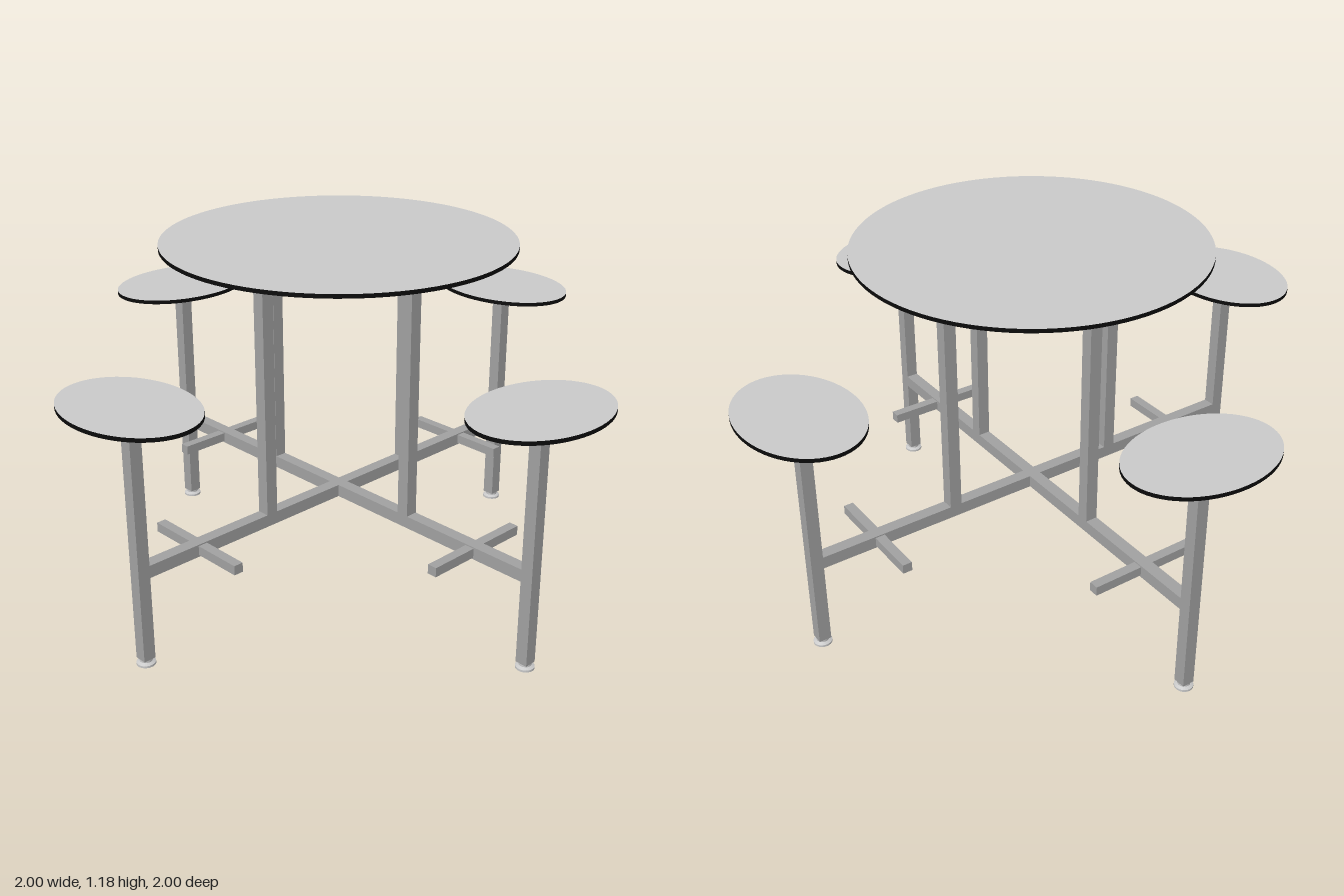
import * as THREE from 'three';

const material = (name, color) => {
  const m = new THREE.MeshStandardMaterial({ color });
  m.name = name;
  return m;
};

export function createModel() {
  const steel = material('steel grey', 0xa0a0a0);
  const laminate = material('light grey laminate', 0xc8c8c8);
  const edging = material('black edging', 0x0a0a0a);
  const model = new THREE.Group();
  model.name = 'picnicTable';

  const add = (parent, name, geometry, mat, x, y, z) => {
    const mesh = new THREE.Mesh(geometry, mat);
    mesh.name = name;
    mesh.position.set(x, y, z);
    parent.add(mesh);
    return mesh;
  };
  // box and disc placed by their bottom and top heights
  const box = (parent, name, w, y0, y1, d, x, z) =>
    add(parent, name, new THREE.BoxGeometry(w, y1 - y0, d), steel, x, (y0 + y1) / 2, z);
  const disc = (parent, name, r, y0, y1, x, mat, sides = 64) =>
    add(parent, name, new THREE.CylinderGeometry(r, r, y1 - y0, sides), mat, x, (y0 + y1) / 2, 0);
  const board = [edging, laminate, laminate];

  // table top with its square support plate
  disc(model, 'tableTop', 0.557, 1.163, 1.176, 0, board, 96);
  box(model, 'topPlate', 0.7, 1.157, 1.163, 0.7, 0, 0);

  // crossed floor beams
  box(model, 'beamAcross', 1.59, 0.298, 0.339, 0.041, 0, 0);
  for (const s of [-1, 1]) box(model, 'beamAlong', 0.041, 0.298, 0.339, 0.775, 0, s * 0.408);

  // four identical arms: post, foot rest, seat leg, seat and foot
  for (let i = 0; i < 4; i++) {
    const arm = new THREE.Group();
    arm.name = 'seatArm';
    arm.rotation.y = (i * Math.PI) / 2;
    model.add(arm);

    box(arm, 'tablePost', 0.041, 0.339, 1.157, 0.041, 0.313, 0);
    box(arm, 'footRest', 0.032, 0.304, 0.335, 0.38, 0.595, 0);
    box(arm, 'seatLeg', 0.041, 0.02, 0.833, 0.041, 0.815, 0);
    disc(arm, 'seatPlate', 0.11, 0.832, 0.839, 0.815, steel, 48);
    disc(arm, 'seat', 1, 0.839, 0.852, 0.815, board).scale.set(0.184, 1, 0.25);

    // levelling foot
    const profile = [[0, 0], [0.03, 0], [0.03, 0.007], [0.02, 0.012], [0.02, 0.02], [0, 0.02]];
    const points = profile.map(([r, y]) => new THREE.Vector2(r, y));
    const foot = new THREE.LatheGeometry(points, 24).toNonIndexed();
    foot.computeVertexNormals();
    add(arm, 'foot', foot, laminate, 0.815, 0, 0);
  }
  return model;
}
